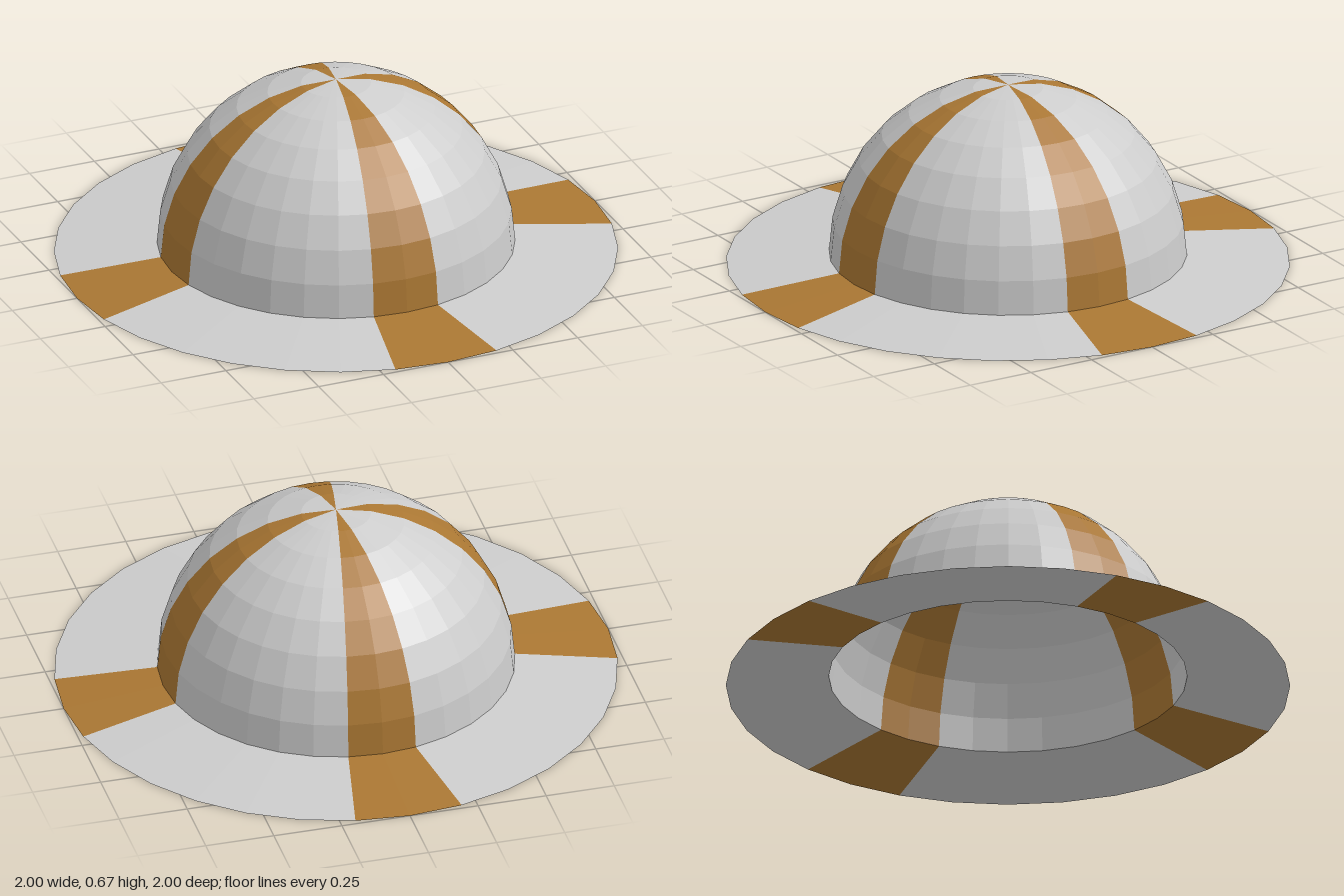
import * as THREE from 'three';

const SEGMENTS = 32;
const STEP = (Math.PI * 2) / SEGMENTS;
const DOME_R = 0.635;
const BRIM_H = 0.035;

export function createModel() {
  const model = new THREE.Group();
  model.name = 'helmet';

  const style = { flatShading: true, side: THREE.DoubleSide };
  const grey = new THREE.MeshStandardMaterial({ color: 0xcccccc, ...style });
  grey.name = 'light grey';
  const brown = new THREE.MeshStandardMaterial({ color: 0xaa7733, ...style });
  brown.name = 'stripe brown';

  // Profiles run from the outside edge upwards
  const brimProfile = [new THREE.Vector2(1, 0), new THREE.Vector2(DOME_R, BRIM_H)];
  const domeProfile = [];
  for (let i = 0; i <= 8; i++) {
    const a = (i / 8) * (Math.PI / 2);
    domeProfile.push(new THREE.Vector2(i === 8 ? 0 : DOME_R * Math.cos(a), BRIM_H + DOME_R * Math.sin(a)));
  }

  // One wedge of the shell, measured in facets around the axis
  const addWedge = (name, profile, material, start, count) => {
    const geometry = new THREE.LatheGeometry(profile, count, start * STEP, count * STEP);
    const mesh = new THREE.Mesh(geometry, material);
    mesh.name = name;
    model.add(mesh);
  };

  // Four quarters: a two-facet stripe on each axis, six grey facets between
  ['front', 'left', 'back', 'right'].forEach((side, q) => {
    const start = q * 8 - 1;
    addWedge(`${side}DomeStripe`, domeProfile, brown, start, 2);
    addWedge(`${side}BrimStripe`, brimProfile, brown, start, 2);
    addWedge(`${side}DomePanel`, domeProfile, grey, start + 2, 6);
    addWedge(`${side}BrimPanel`, brimProfile, grey, start + 2, 6);
  });

  return model;
}
